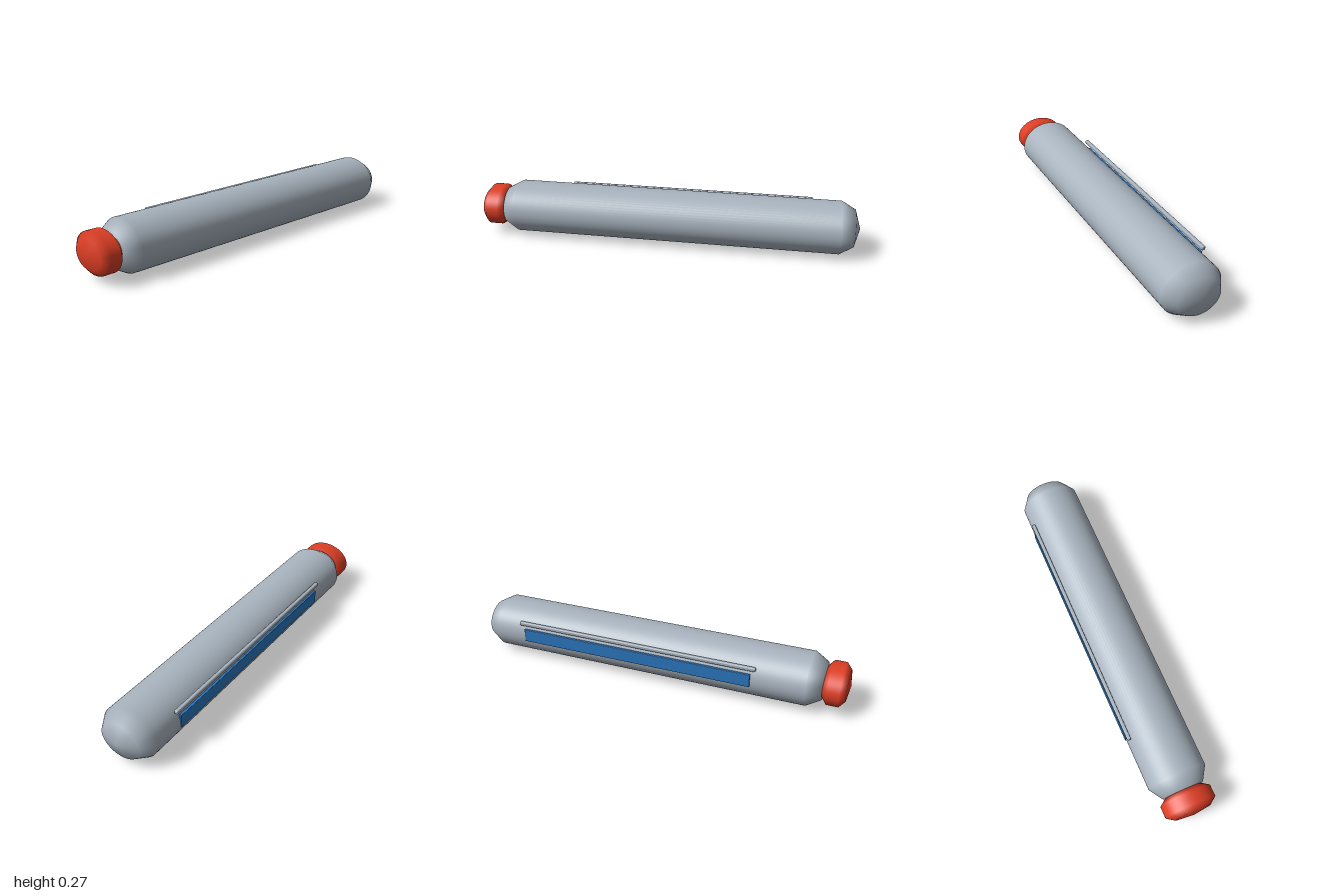
import * as THREE from 'three';
import { RoundedBoxGeometry } from 'three/addons/geometries/RoundedBoxGeometry.js';

const material = (name, color) => {
  const m = new THREE.MeshStandardMaterial({ color });
  m.name = name;
  return m;
};

export function createModel() {
  const group = new THREE.Group();
  const casing = material('grey casing', 0xa8b3be);
  const red = material('red button', 0xdd3e24);
  const blue = material('blue panel', 0x2b78c0);

  const add = (name, geometry, mat, x, y, z) => {
    const mesh = new THREE.Mesh(geometry, mat);
    mesh.name = name;
    mesh.position.set(x, y, z);
    group.add(mesh);
  };

  // Oval capsule along z with coarse two-step ends of a given depth
  const ovalCapsule = (rx, ry, length, end) =>
    new THREE.CapsuleGeometry(1, (length - 2 * end) / end, 2, 64)
      .rotateX(Math.PI / 2)
      .scale(rx, ry, end);

  // Barrel and the push button at its front
  add('barrel', ovalCapsule(0.155, 0.134, 1.9, 0.1), casing, 0.002, 0.135, -0.05);
  add('endButton', ovalCapsule(0.135, 0.104, 0.14, 0.04), red, 0.001, 0.135, 0.93);

  // Slim rail and side panel on the right flank
  add('sideRail', new RoundedBoxGeometry(0.02, 0.021, 1.305, 3, 0.006), casing, -0.148, 0.2175, -0.1025);
  add('sidePanel', new RoundedBoxGeometry(0.013, 0.072, 1.255, 2, 0.003), blue, -0.1515, 0.15, -0.1025);

  return group;
}
